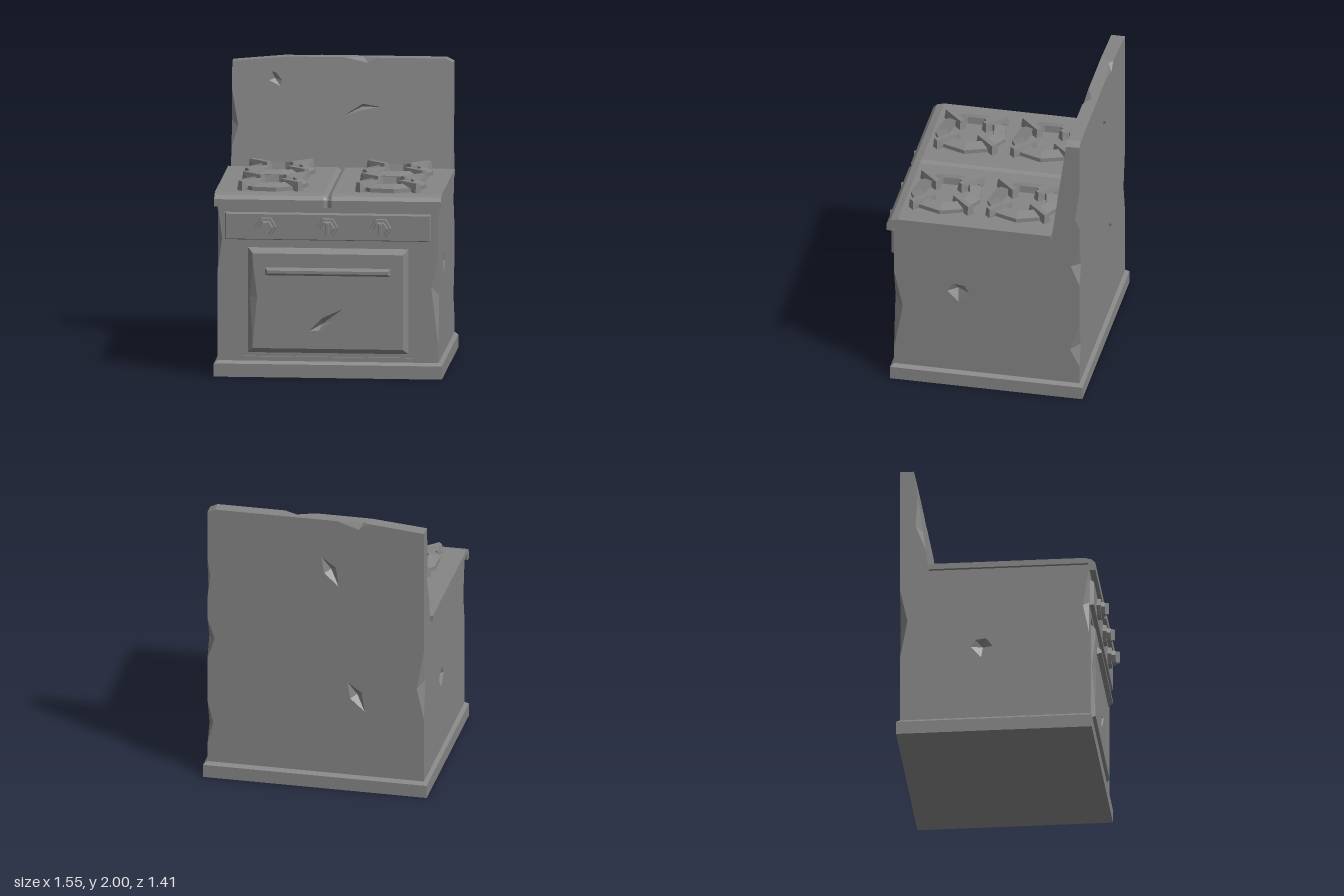
import * as THREE from 'three';

const material = new THREE.MeshStandardMaterial({ color: 0x858585, flatShading: true });
const V = (x, y, z) => new THREE.Vector3(x, y, z);
const rect = (x, y0, y1, z) => [V(-x, y0, z), V(x, y0, z), V(x, y1, z), V(-x, y1, z)];

// Collects flat faces; each face may have dents or openings, and neighbours may share a chipped edge.
class Faces {
  constructor() { this.data = []; }
  tri(a, b, c, out) {
    const n = b.clone().sub(a).cross(c.clone().sub(a));
    for (const p of n.dot(out) < 0 ? [a, c, b] : [a, b, c]) this.data.push(p.x, p.y, p.z);
  }
  face(points, out, dents = []) {
    const ax = Math.abs(out.x), ay = Math.abs(out.y), az = Math.abs(out.z);
    const flat = p => ax > ay && ax > az ? new THREE.Vector2(p.z, p.y)
      : ay > az ? new THREE.Vector2(p.x, p.z) : new THREE.Vector2(p.x, p.y);
    const all = [...points, ...dents.flatMap(d => d.ring)];
    const tris = THREE.ShapeUtils.triangulateShape(points.map(flat), dents.map(d => d.ring.map(flat)));
    for (const t of tris) this.tri(all[t[0]], all[t[1]], all[t[2]], out);
    // A dent with a mid point is closed by a sunken pyramid; without one it stays open
    for (const { ring, mid } of dents.filter(d => d.mid)) {
      ring.forEach((p, i) => this.tri(p, ring[(i + 1) % ring.length], mid, out));
    }
  }
  chip({ p1, p2, a, b }, out) {
    this.tri(p1, a, b, out);
    this.tri(p2, a, b, out);
  }
  mesh(name) {
    const g = new THREE.BufferGeometry();
    g.setAttribute('position', new THREE.Float32BufferAttribute(this.data, 3));
    g.computeVertexNormals();
    return named(g, name);
  }
}

function named(geometry, name, x = 0, y = 0, z = 0) {
  const m = new THREE.Mesh(geometry, material);
  m.name = name;
  m.position.set(x, y, z);
  return m;
}

// Box whose +z face is drawn in on all sides; its back lies at z = 0.
function taperBox(w, h, d, inset) {
  const g = new THREE.BoxGeometry(w, h, d).toNonIndexed();
  const p = g.attributes.position;
  for (let i = 0; i < p.count; i++) {
    if (p.getZ(i) > 0) p.setXY(i, p.getX(i) - Math.sign(p.getX(i)) * inset, p.getY(i) - Math.sign(p.getY(i)) * inset);
  }
  g.translate(0, 0, d / 2);
  g.computeVertexNormals();
  return g;
}

// Outline run along a chipped edge: key a or b picks the side of the chip
const run = (chips, key) => chips.flatMap(c => [c.p1, c[key], c.p2]);
const back = (chips, key) => run(chips, key).reverse();

const doorOpening = z => rect(0.575, 0.14, 0.91, z);

// Cabinet and splashback with worn edges and gouges
function createBody() {
  const f = new Faces();
  const W = 0.75, F = 0.603, B = -0.68, Y0 = 0.1, Y1 = 1.22;
  const slope = y => -0.485 - (y - Y1) * 0.105 / 0.78;
  const S = (x, y, d = 0) => V(x, y, slope(y) - d);

  // a lies on the front or back face, b on the side face
  const edge = (x, z, y1, y2, ya, inX, yb, inZ) => ({
    p1: V(x, y1, z), p2: V(x, y2, z),
    a: V(x - Math.sign(x) * inX, ya, z), b: V(x, yb, z - Math.sign(z) * inZ),
  });
  const fr = [edge(W, F, 0.22, 0.84, 0.63, 0.05, 0.57, 0.06)];
  const fl = [edge(-W, F, 0.72, 1.18, 0.95, 0.03, 0.92, 0.04)];
  const br = [edge(W, B, 0.24, 0.57, 0.4, 0.04, 0.37, 0.065),
    edge(W, B, 0.88, 1.18, 1.03, 0.05, 1.03, 0.06),
    edge(W, B, 1.33, 1.63, 1.5, 0.02, 1.4, 0.03)];
  const bl = [edge(-W, B, 0.58, 1.08, 0.8, 0.05, 0.85, 0.05)];
  const sl = [{ p1: S(-W, 1.38), p2: S(-W, 1.78), a: S(-0.705, 1.53), b: S(-W, 1.56, 0.045) }];
  const topFront = { p1: S(0.02, 2), p2: S(0.23, 2), a: S(0.17, 1.965), b: V(0.14, 2, -0.635) };
  const topBack = { p1: V(-0.36, 2, B), p2: V(-0.15, 2, B), a: V(-0.3, 1.95, B), b: V(-0.33, 2, -0.655) };

  [[fr, 1, 1], [fl, -1, 1], [br, 1, -1], [bl, -1, -1], [sl, -1, 1]].forEach(([list, x, z]) =>
    list.forEach(c => f.chip(c, V(x, 0, z))));
  f.chip(topFront, V(0, 1, 1));
  f.chip(topBack, V(0, 1, -1));

  const sideDent = (x, y, z) => ({
    ring: [V(x, y, z + 0.08), V(x, y + 0.06, z + 0.035), V(x, y + 0.05, z - 0.04), V(x, y, z - 0.07), V(x, y - 0.08, z)],
    mid: V(x - Math.sign(x) * 0.04, y + 0.01, z + 0.01),
  });
  const backDent = (x, y) => ({
    ring: [V(x + 0.06, y + 0.1, B), V(x + 0.04, y - 0.02, B), V(x - 0.06, y - 0.11, B), V(x - 0.04, y + 0.03, B)],
    mid: V(x, y, B + 0.04),
  });
  const splashDents = [
    { ring: [S(0, 1.6), S(0.14, 1.69), S(0.26, 1.67), S(0.13, 1.645)], mid: S(0.13, 1.665, 0.035) },
    { ring: [S(-0.5, 1.84), S(-0.48, 1.9), S(-0.45, 1.89), S(-0.41, 1.84), S(-0.42, 1.8)], mid: S(-0.46, 1.85, 0.03) },
  ];

  // Front with door opening, splashback face, back and the two sides
  f.face([V(-W, Y0, F), V(W, Y0, F), ...run(fr, 'a'), V(W, Y1, F), V(-W, Y1, F), ...back(fl, 'a')],
    V(0, 0, 1), [{ ring: doorOpening(F) }]);
  f.face([S(-W, Y1), S(W, Y1), S(W, 1.975), S(0.7, 2), ...back([topFront], 'a'), S(-0.37, 2), S(-W, 1.965),
    ...back(sl, 'a')], V(0, 0.13, 1), splashDents);
  f.face([V(-W, Y0, B), V(W, Y0, B), ...run(br, 'a'), V(W, 1.975, B), V(0.7, 2, B), ...back([topBack], 'a'),
    V(-0.37, 2, B), V(-W, 1.965, B), ...back(bl, 'a')], V(0, 0, -1), [backDent(-0.1, 1.62), backDent(-0.28, 0.7)]);
  f.face([V(W, Y0, F), ...run(fr, 'b'), V(W, Y1, F), S(W, Y1), S(W, 1.975), V(W, 1.975, B),
    ...back(br, 'b'), V(W, Y0, B)], V(1, 0, 0), [sideDent(W, 0.73, 0.155)]);
  f.face([V(-W, Y0, F), ...run(fl, 'b'), V(-W, Y1, F), S(-W, Y1), ...run(sl, 'b'), S(-W, 1.965), V(-W, 1.965, B),
    ...back(bl, 'b'), V(-W, Y0, B)], V(-1, 0, 0), [sideDent(-W, 0.64, -0.13)]);

  // Top rim with its two worn corners, cabinet top
  const up = V(0, 1, 0);
  f.face([S(-0.37, 2), ...run([topFront], 'b'), S(0.7, 2), V(0.7, 2, B), ...back([topBack], 'b'), V(-0.37, 2, B)], up);
  f.face([S(-W, 1.965), S(-0.37, 2), V(-0.37, 2, B), V(-W, 1.965, B)], up);
  f.face([S(0.7, 2), S(W, 1.975), V(W, 1.975, B), V(0.7, 2, B)], up);
  f.face([V(-W, Y1, F), V(W, Y1, F), S(W, Y1), S(-W, Y1)], up);
  return f.mesh('cabinetAndSplashback');
}

// Hob: a lipped section run across x, pinched into a groove at the middle
function createHob() {
  const f = new Faces();
  const prof = [[-0.485, 1.222], [-0.485, 1.262], [0.575, 1.262], [0.625, 1.248], [0.65, 1.222],
    [0.65, 1.17], [0.61, 1.17], [0.6, 1.222]];
  const station = (x, d) => prof.map(([z, y], i) =>
    V(x, y - (i > 0 && i < 4 ? d : 0), z - (i > 2 && i < 6 ? d : 0)));
  for (const s of [-1, 1]) {
    const rows = [station(0, 0.016), station(s * 0.027, 0), station(s * 0.77, 0)];
    for (let r = 0; r < 2; r++) {
      prof.forEach(([z, y], i) => {
        const j = (i + 1) % prof.length;
        f.face([rows[r][i], rows[r][j], rows[r + 1][j], rows[r + 1][i]], V(0, prof[j][0] - z, y - prof[j][1]));
      });
    }
    f.face(rows[2], V(s, 0, 0));
  }
  return f.mesh('hob');
}

// Pan support: nine-sided ring, sloping outward, with four diagonal prongs
function createBurner(x, z) {
  const g = new THREE.Group();
  g.name = 'burner';
  g.position.set(x, 1.26, z);
  const ringProfile = [[0.16, 0], [0.244, 0], [0.244, 0.03], [0.165, 0.05], [0.16, 0]];
  const ring = new THREE.LatheGeometry(ringProfile.map(p => new THREE.Vector2(...p)), 9, Math.PI / 2);
  g.add(named(ring, 'burnerRing'));
  const shape = new THREE.Shape([[0.1, 0], [0.15, 0], [0.165, 0.03], [0.24, 0.03], [0.25, 0], [0.293, 0],
    [0.288, 0.067], [0.108, 0.067]].map(p => new THREE.Vector2(...p)));
  const prong = new THREE.ExtrudeGeometry(shape, { depth: 0.052, bevelEnabled: false }).translate(0, 0, -0.026);
  const pos = prong.attributes.position;
  for (let i = 0; i < pos.count; i++) if (pos.getY(i) > 0.06) pos.setZ(i, pos.getZ(i) * 0.7);
  for (let i = 0; i < 4; i++) {
    const m = named(prong, 'burnerProng');
    m.rotation.y = Math.PI / 4 + i * Math.PI / 2;
    g.add(m);
  }
  return g;
}

// Six-sided knob with a raised grip
function createKnob(x) {
  const g = new THREE.Group();
  g.name = 'knob';
  g.position.set(x, 1.035, 0.63);
  const hex = (r1, r2, d) => new THREE.CylinderGeometry(r1, r2, d, 6).rotateY(Math.PI / 6).rotateX(Math.PI / 2);
  g.add(named(hex(0.07, 0.074, 0.03), 'knobRim', 0, 0, 0.013), named(hex(0.046, 0.052, 0.03), 'knobHub', 0, 0, 0.04));
  g.add(named(taperBox(0.026, 0.085, 0.03, 0.003), 'knobGrip', 0, 0, 0.05));
  return g;
}

// Oven door: raised panel in a shallow recess, with a worn edge, a gouge and a bar handle
function createDoor() {
  const g = new THREE.Group();
  g.name = 'ovenDoor';
  const f = new Faces(), z1 = 0.627, z0 = 0.585;
  const rim = doorOpening(0.603), floor = doorOpening(z0);
  const inner = rect(0.51, 0.2, 0.85, z1), outer = rect(0.545, 0.165, 0.885, z0);
  const worn = { p1: V(-0.51, 0.24, z1), p2: V(-0.51, 0.8, z1), a: V(-0.48, 0.55, z1), b: V(-0.53, 0.55, 0.603) };
  const gouge = {
    ring: [V(-0.13, 0.32, z1), V(-0.04, 0.41, z1), V(0.1, 0.475, z1), V(0.03, 0.39, z1), V(-0.06, 0.325, z1)],
    mid: V(-0.04, 0.365, 0.575),
  };
  f.face([...inner, ...back([worn], 'a')], V(0, 0, 1), [gouge]);
  f.face(floor, V(0, 0, 1), [{ ring: outer }]);
  const facing = [V(0, 1, 0), V(-1, 0, 0), V(0, -1, 0), V(1, 0, 0)];
  for (let i = 0; i < 4; i++) {
    const j = (i + 1) % 4;
    f.face([outer[i], outer[j], inner[j], ...(i === 3 ? run([worn], 'b') : []), inner[i]], V(0, 0, 1));
    f.face([floor[i], floor[j], rim[j], rim[i]], facing[i]);
  }
  f.chip(worn, V(-1, 0, 1));
  g.add(f.mesh('doorPanel'));
  g.add(named(taperBox(0.86, 0.06, 0.036, 0.02), 'doorHandle', 0, 0.728, 0.622));
  return g;
}

export function createModel() {
  const model = new THREE.Group();
  model.name = 'stove';

  // Plinth with bevelled upper edge
  model.add(named(new THREE.BoxGeometry(1.55, 0.09, 1.33), 'plinth', 0, 0.045, -0.04));
  const bevel = taperBox(1.55, 1.33, 0.02, 0.022).rotateX(-Math.PI / 2);
  model.add(named(bevel, 'plinthBevel', 0, 0.09, -0.04));

  model.add(createBody(), createHob(), createDoor());
  model.add(named(taperBox(1.4, 0.19, 0.032, 0.01), 'controlPanel', 0, 1.035, 0.6));
  for (const x of [-0.42, 0, 0.36]) model.add(createKnob(x));
  for (const x of [-0.4, 0.4]) for (const z of [-0.22, 0.31]) model.add(createBurner(x, z));
  return model;
}
